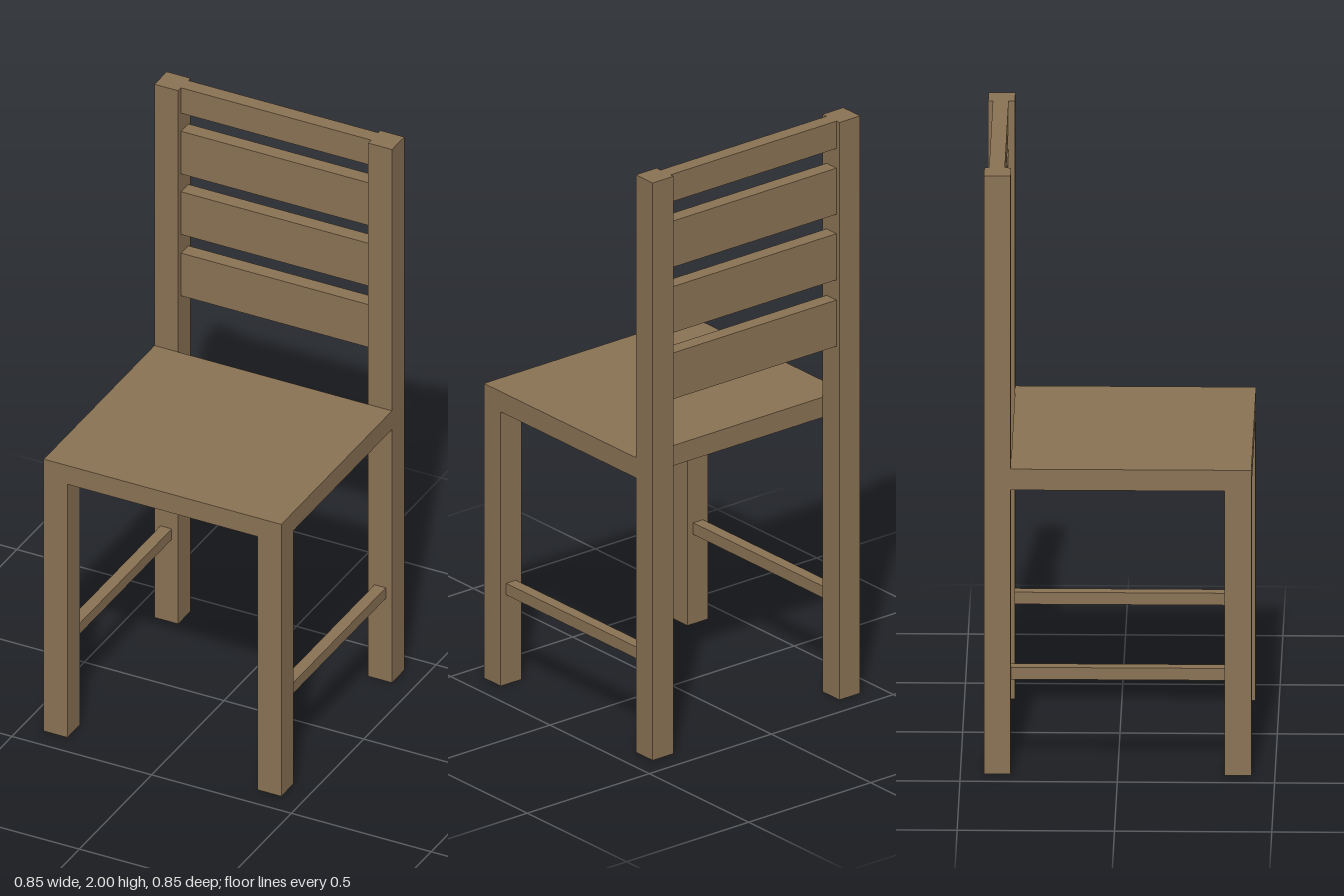
import * as THREE from 'three';

const wood = new THREE.MeshStandardMaterial({ color: 0x8b7355, side: THREE.DoubleSide });
wood.name = 'wood';

// Box given by its min and max corners
function block(name, [x0, y0, z0], [x1, y1, z1], openBottom = false) {
  const geo = new THREE.BoxGeometry(x1 - x0, y1 - y0, z1 - z0);
  if (openBottom) {
    // drop the -y face (fourth group of six indices)
    const index = Array.from(geo.index.array);
    index.splice(18, 6);
    geo.setIndex(index);
    geo.clearGroups();
  }
  geo.translate((x0 + x1) / 2, (y0 + y1) / 2, (z0 + z1) / 2);
  const mesh = new THREE.Mesh(geo, wood);
  mesh.name = name;
  return mesh;
}

export function createModel() {
  const chair = new THREE.Group();
  chair.name = 'chair';

  const outer = 0.425, inner = 0.34;
  const seatBottom = 0.95, seatTop = 1.02;

  // Seat, ending at the front of the back posts
  chair.add(block('seat', [-outer, seatBottom, -inner], [outer, seatTop, outer]));

  // Legs, back posts and side stretchers, mirrored
  for (const [side, s] of [['left', 1], ['right', -1]]) {
    const span = (a, b) => (s > 0 ? [a, b] : [-b, -a]);
    const [x0, x1] = span(inner, outer);
    const [b0, b1] = span(0.363, 0.403);
    chair.add(
      block(side + 'FrontLeg', [x0, 0, inner], [x1, seatBottom, outer], true),
      block(side + 'BackPost', [x0, 0, -outer], [x1, 2, -inner], true),
      block(side + 'Stretcher', [b0, 0.31, -inner], [b1, 0.35, inner])
    );
  }

  // Backrest slats
  [[1.22, 1.38], [1.45, 1.61], [1.677, 1.837], [1.905, 2]].forEach(([y0, y1], i) => {
    chair.add(block('backSlat' + (i + 1), [-inner, y0, -0.41], [inner, y1, -0.36]));
  });

  return chair;
}
